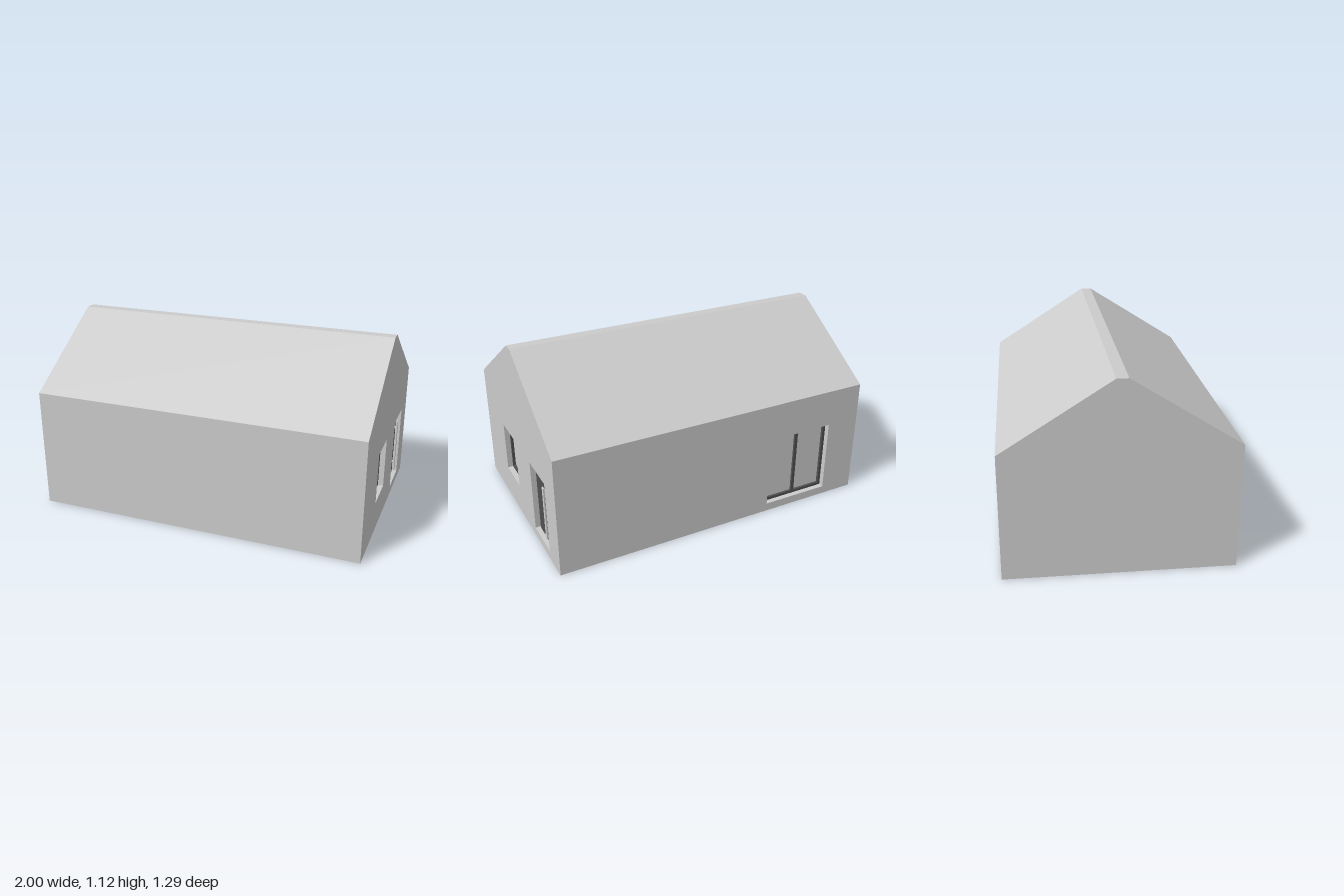
import * as THREE from 'three';

const W = 1, D = 0.645, EAVE = 0.73, RIDGE = 1.12, CAP = 0.033;
const plaster = new THREE.MeshStandardMaterial({ color: 0xcccccc, side: THREE.DoubleSide });
const dark = new THREE.MeshStandardMaterial({ color: 0x505050 });

function add(parent, name, geometry, material = plaster) {
  const mesh = new THREE.Mesh(geometry, material);
  mesh.name = name;
  parent.add(mesh);
  return mesh;
}

const outline = (pts) => pts.map(([x, y]) => new THREE.Vector2(x, y));
const rect = (x0, y0, x1, y1) => outline([[x0, y0], [x1, y0], [x1, y1], [x0, y1]]);

// Flat wall with rectangular holes, drawn in x/y and facing +z
function wallGeometry(points, openings = []) {
  const shape = new THREE.Shape(points);
  for (const o of openings) shape.holes.push(new THREE.Path(rect(o.x0, o.y0, o.x1, o.y1).reverse()));
  return new THREE.ShapeGeometry(shape);
}

// Rectangular ring around an opening: outer and inner offsets, z range
function ringGeometry(o, outer, inner, z0, z1) {
  const shape = new THREE.Shape(rect(o.x0 - outer, o.y0 - outer, o.x1 + outer, o.y1 + outer));
  shape.holes.push(new THREE.Path(rect(o.x0 + inner, o.y0 + inner, o.x1 - inner, o.y1 - inner).reverse()));
  return new THREE.ExtrudeGeometry(shape, { depth: z1 - z0, bevelEnabled: false }).translate(0, 0, z0);
}

function boxGeometry(x0, y0, x1, y1, z0, z1) {
  return new THREE.BoxGeometry(x1 - x0, y1 - y0, z1 - z0)
    .translate((x0 + x1) / 2, (y0 + y1) / 2, (z0 + z1) / 2);
}

// Recessed opening: plaster reveal, dark frame
function addOpening(wall, name, o) {
  const group = new THREE.Group();
  group.name = name;
  wall.add(group);
  add(group, 'reveal', ringGeometry(o, 0.012, 0, -0.06, -0.001));
  add(group, 'frame', ringGeometry(o, 0, o.frame, -0.058, -0.033), dark);
  return group;
}

function addWindow(wall, name, o) {
  const group = addOpening(wall, name, o);
  const mid = (o.x0 + o.x1) / 2, half = o.mullion / 2;
  add(group, 'glass', boxGeometry(o.x0, o.y0, o.x1, o.y1, -0.056, -0.048));
  add(group, 'mullion', boxGeometry(mid - half, o.y0 + 0.01, mid + half, o.y1 - 0.01, -0.05, -0.036), dark);
}

function addDoor(wall, name, o) {
  const group = addOpening(wall, name, o);
  add(group, 'doorLeaf', boxGeometry(o.x0 + o.frame, o.y0, o.x1 - o.frame, o.y1 - o.frame, -0.056, -0.03), dark);
  // Long pull handle on two short posts
  add(group, 'handle', boxGeometry(0.397, 0.095, 0.421, 0.433, -0.016, -0.008));
  for (const y of [0.14, 0.385]) add(group, 'handlePost', boxGeometry(0.403, y, 0.415, y + 0.012, -0.03, -0.015));
}

export function createModel() {
  const house = new THREE.Group();
  house.name = 'house';

  const gable = outline([[-D, 0], [D, 0], [D, EAVE], [CAP, RIDGE], [-CAP, RIDGE], [-D, EAVE]]);
  const longWall = rect(-W, 0, W, EAVE);
  const windowOpening = { x0: -0.285, x1: -0.045, y0: 0.19, y1: 0.5, frame: 0.018, mullion: 0.01 };
  const doorOpening = { x0: 0.225, x1: 0.478, y0: 0.05, y1: 0.5, frame: 0.014 };
  const slidingOpening = { x0: 0.357, x1: 0.787, y0: 0.05, y1: 0.5, frame: 0.018, mullion: 0.02 };

  // Four walls, each turned to face outwards
  const walls = [
    ['frontWall', longWall, [], 0, 0, D],
    ['rightGable', gable, [windowOpening, doorOpening], Math.PI / 2, W, 0],
    ['backWall', longWall, [slidingOpening], Math.PI, 0, -D],
    ['leftGable', gable, [], -Math.PI / 2, -W, 0],
  ];
  const sides = {};
  for (const [name, points, openings, turn, x, z] of walls) {
    const side = sides[name] = new THREE.Group();
    side.name = name;
    side.position.set(x, 0, z);
    side.rotation.y = turn;
    add(side, 'wallFace', wallGeometry(points, openings));
    house.add(side);
  }
  addWindow(sides.rightGable, 'window', windowOpening);
  addDoor(sides.rightGable, 'frontDoor', doorOpening);
  addWindow(sides.backWall, 'slidingWindow', slidingOpening);

  // Roof slopes, mirrored front to back
  const rise = RIDGE - EAVE, run = D - CAP;
  for (const s of [1, -1]) {
    const slope = add(house, s > 0 ? 'frontRoof' : 'backRoof', new THREE.PlaneGeometry(2 * W, Math.hypot(rise, run)));
    slope.rotation.order = 'YXZ';
    slope.rotation.set(-Math.atan2(run, rise), s > 0 ? 0 : Math.PI, 0);
    slope.position.set(0, (EAVE + RIDGE) / 2, s * (D + CAP) / 2);
  }

  // Flat ridge strip and floor
  add(house, 'ridge', new THREE.PlaneGeometry(2 * W, 2 * CAP).rotateX(-Math.PI / 2).translate(0, RIDGE, 0));
  add(house, 'floor', new THREE.PlaneGeometry(2 * W, 2 * D).rotateX(Math.PI / 2));
  return house;
}
